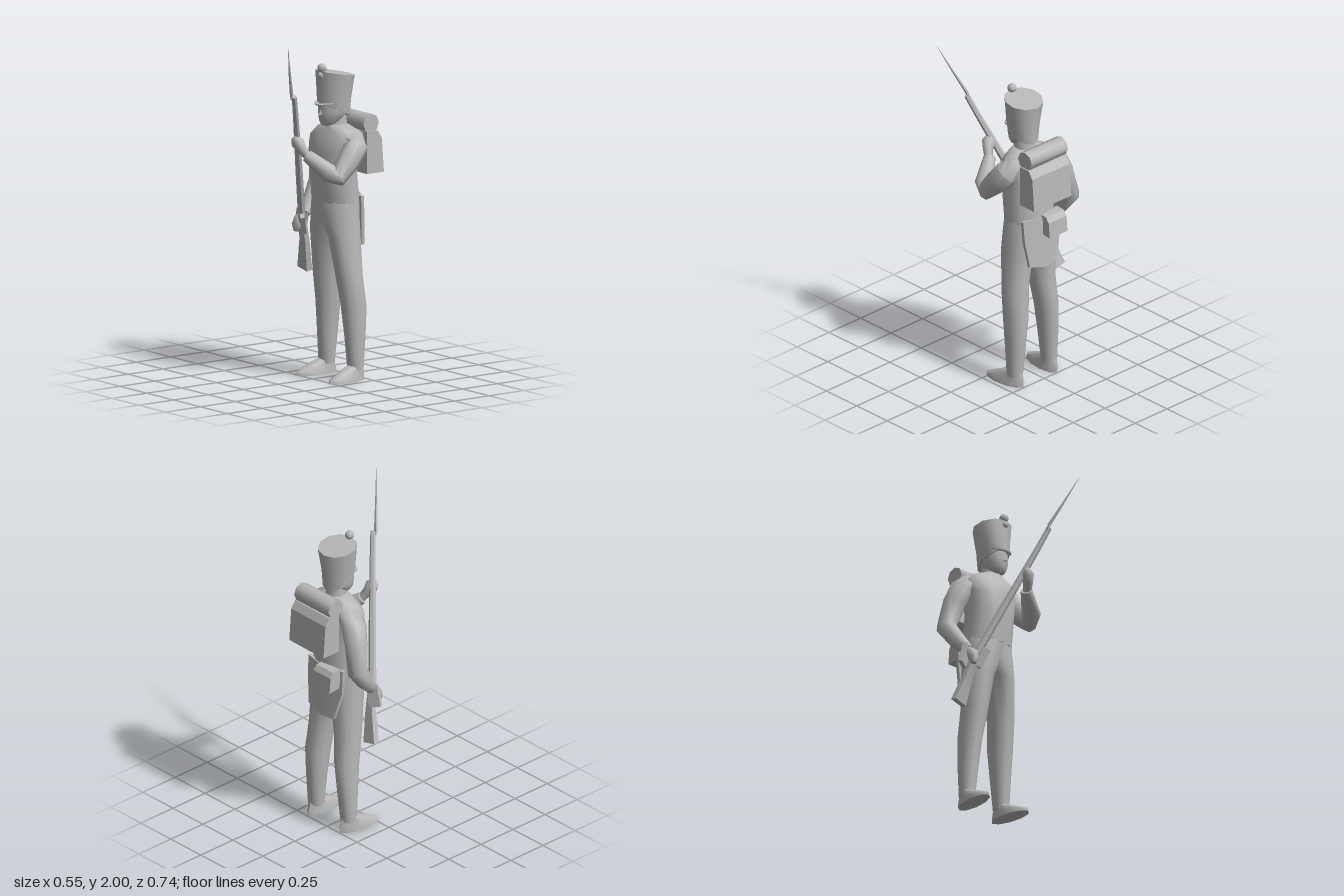
import * as THREE from 'three';
import { toCreasedNormals } from 'three/addons/utils/BufferGeometryUtils.js';

const grey = new THREE.MeshStandardMaterial({ color: 0xb8b8b8, side: THREE.DoubleSide });
grey.name = 'clay grey';

// Skin a stack of rings (arrays of Vector3) and close both ends
function skin(rings, crease = 1.1) {
  const n = rings[0].length, pos = [];
  const tri = (...p) => p.forEach(v => pos.push(v.x, v.y, v.z));
  for (let r = 0; r < rings.length - 1; r++) {
    for (let i = 0; i < n; i++) {
      const j = (i + 1) % n, a = rings[r], b = rings[r + 1];
      tri(a[i], b[j], a[j]);
      tri(a[i], b[i], b[j]);
    }
  }
  const lo = rings[0], hi = rings[rings.length - 1];
  for (let i = 1; i < n - 1; i++) {
    tri(lo[0], lo[i], lo[i + 1]);
    tri(hi[0], hi[i + 1], hi[i]);
  }
  const g = new THREE.BufferGeometry();
  g.setAttribute('position', new THREE.Float32BufferAttribute(pos, 3));
  return toCreasedNormals(g, crease);
}

// Upright form: each ring is [y, x0, x1, z front, z back, tilt]
function upright(rows, n = 12, crease) {
  return skin(rows.map(([y, x0, x1, zf, zb, tilt = 0]) => Array.from({ length: n }, (_, i) => {
    const a = (i + 0.5) / n * Math.PI * 2, k = 1 / Math.cos(Math.PI / n);
    const dz = Math.sin(a) * k * (zf - zb) / 2;
    return new THREE.Vector3((x0 + x1) / 2 + Math.cos(a) * k * (x1 - x0) / 2, y + tilt * dz, (zf + zb) / 2 + dz);
  })), crease);
}

// Limb along points [x, y, z, half width, half depth]; width lies along x
function limb(points, n = 8, crease) {
  const p = points.map(q => new THREE.Vector3(q[0], q[1], q[2]));
  const hint = new THREE.Vector3(1, 0, 0);
  return skin(points.map((q, k) => {
    const dir = p[Math.min(k + 1, p.length - 1)].clone().sub(p[Math.max(k - 1, 0)]).normalize();
    const u = hint.clone().addScaledVector(dir, -hint.dot(dir)).normalize();
    const v = new THREE.Vector3().crossVectors(u, dir);
    return Array.from({ length: n }, (_, i) => {
      const a = (i + 0.5) / n * Math.PI * 2;
      return p[k].clone().addScaledVector(u, Math.cos(a) * q[3]).addScaledVector(v, Math.sin(a) * (q[4] ?? q[3]));
    });
  }), crease);
}

// Side profile of [distance behind centre, y], extruded across x
function sideProfile(points, depth) {
  const g = new THREE.ExtrudeGeometry(new THREE.Shape(points.map(p => new THREE.Vector2(...p))), { depth, bevelEnabled: false });
  return g.rotateY(Math.PI / 2);
}

export function createModel() {
  const model = new THREE.Group();
  const add = (name, geometry, x = 0, y = 0, z = 0) => {
    const m = new THREE.Mesh(geometry, grey);
    m.name = name;
    m.position.set(x, y, z);
    model.add(m);
    return m;
  };

  // Coat body
  add('coat', upright([
    [1.03, -0.137, 0.177, -0.03, -0.265], [1.2, -0.128, 0.175, -0.012, -0.25],
    [1.32, -0.14, 0.19, -0.012, -0.25], [1.4, -0.15, 0.205, -0.03, -0.245],
    [1.445, -0.11, 0.185, -0.06, -0.225], [1.48, -0.025, 0.105, -0.075, -0.19]], 14));

  // Trousers: both legs widen into one shared waist
  add('rightLeg', upright([
    [0.06, -0.15, -0.06, -0.135, -0.225], [0.25, -0.15, -0.043, -0.118, -0.242],
    [0.43, -0.148, -0.024, -0.1, -0.252], [0.6, -0.145, 0.0, -0.075, -0.235],
    [0.84, -0.14, 0.032, -0.045, -0.24], [0.93, -0.138, 0.1, -0.036, -0.25],
    [1.04, -0.135, 0.175, -0.032, -0.262]], 12));
  add('leftLeg', upright([
    [0.06, 0.12, 0.21, -0.135, -0.225], [0.25, 0.106, 0.215, -0.118, -0.242],
    [0.43, 0.087, 0.22, -0.1, -0.252], [0.6, 0.067, 0.21, -0.075, -0.235],
    [0.84, 0.028, 0.19, -0.045, -0.24], [0.93, -0.06, 0.184, -0.036, -0.25],
    [1.04, -0.135, 0.175, -0.032, -0.262]], 12));

  // Shoes, toes turned slightly out and tapering
  for (const [name, x, turn] of [['rightShoe', -0.108, -0.12], ['leftShoe', 0.165, 0.1]]) {
    const shoe = add(name, upright([
      [0, -0.05, 0.05, 0.2, -0.06], [0.02, -0.048, 0.048, 0.195, -0.06],
      [0.055, -0.04, 0.04, 0.125, -0.053], [0.09, -0.036, 0.036, 0.04, -0.044]], 10, 0.7), x, 0, -0.18);
    shoe.rotation.y = turn;
  }

  // Coat tails: a thin panel flaring out behind and wrapping round the hips
  const tails = new THREE.Shape([[-0.125, 1.06], [0.02, 1.06], [0.16, 1.06], [0.155, 0.93], [0.13, 0.77], [0.02, 0.745], [-0.08, 0.745], [-0.125, 0.92]]
    .map(p => new THREE.Vector2(...p)));
  const tailGeometry = new THREE.ExtrudeGeometry(tails, { depth: 0.02, bevelEnabled: false });
  const tp = tailGeometry.attributes.position;
  for (let i = 0; i < tp.count; i++) {
    const dx = tp.getX(i) - 0.02;
    tp.setZ(i, tp.getZ(i) - 0.274 + (tp.getY(i) - 1.06) * 0.05 + dx * dx * 1.5);
  }
  add('coatTails', toCreasedNormals(tailGeometry, 0.7));

  // Neck, head and nose
  add('neck', upright([[1.42, -0.02, 0.11, -0.075, -0.2], [1.56, -0.01, 0.095, -0.08, -0.185]], 10));
  add('head', upright([
    [1.475, 0.015, 0.07, -0.04, -0.1], [1.5, -0.012, 0.097, -0.028, -0.17],
    [1.55, -0.027, 0.112, -0.025, -0.205], [1.63, -0.032, 0.117, -0.03, -0.21]], 10));
  add('nose', new THREE.ConeGeometry(0.012, 0.045, 4), 0.043, 1.56, -0.024).rotation.x = -0.2;

  // Tall cap with visor and pompon
  add('cap', upright([
    [1.56, -0.036, 0.123, -0.022, -0.21, 0.45], [1.65, -0.047, 0.134, -0.022, -0.213, 0.35],
    [1.775, -0.067, 0.154, -0.022, -0.232, 0.17]], 10));
  add('visor', new THREE.CylinderGeometry(0.07, 0.07, 0.008, 12, 1, false, -Math.PI / 2, Math.PI), 0.043, 1.612, -0.068).rotation.x = 0.2;
  add('pompon', new THREE.SphereGeometry(0.027, 8, 6), 0.045, 1.81, -0.032);
  add('cockade', new THREE.SphereGeometry(0.022, 8, 6), 0.045, 1.768, -0.026);

  // Right arm reaching down to the musket
  add('rightArm', limb([
    [-0.02, 1.43, -0.155, 0.03, 0.06], [-0.1, 1.4, -0.17, 0.052, 0.08], [-0.15, 1.345, -0.18, 0.068, 0.08],
    [-0.19, 1.25, -0.2, 0.066, 0.07], [-0.228, 1.1, -0.222, 0.056, 0.062],
    [-0.21, 1.0, -0.15, 0.045, 0.05], [-0.19, 0.925, -0.085, 0.036, 0.034]]));
  add('rightHand', limb([
    [-0.19, 0.93, -0.08, 0.022, 0.02], [-0.19, 0.895, -0.05, 0.034, 0.032],
    [-0.192, 0.86, -0.035, 0.034, 0.032], [-0.195, 0.825, -0.03, 0.016, 0.014]]));

  // Left arm bent across the chest
  add('leftArm', limb([
    [0.08, 1.435, -0.15, 0.03, 0.06], [0.155, 1.41, -0.165, 0.05, 0.072], [0.204, 1.365, -0.155, 0.064, 0.075],
    [0.215, 1.29, -0.09, 0.06, 0.072], [0.224, 1.205, -0.005, 0.053, 0.056],
    [0.2, 1.228, 0.033, 0.056, 0.054], [0.088, 1.325, 0.108, 0.034, 0.036]]));
  add('leftHand', limb([
    [0.1, 1.31, 0.1, 0.022, 0.022], [0.075, 1.36, 0.135, 0.03, 0.028],
    [0.055, 1.4, 0.15, 0.042, 0.038], [0.035, 1.43, 0.155, 0.022, 0.022]]));

  // Musket: barrel and fore-stock, butt, lock, bayonet
  add('barrel', limb([
    [-0.17, 0.87, -0.055, 0.024, 0.022], [-0.04, 1.21, 0.067, 0.023, 0.02],
    [0.09, 1.55, 0.19, 0.018, 0.016], [0.14, 1.69, 0.24, 0.016, 0.015]], 6, 0.6));
  add('butt', limb([
    [-0.165, 0.88, -0.05, 0.03, 0.024], [-0.184, 0.78, -0.082, 0.036, 0.022],
    [-0.23, 0.595, -0.12, 0.062, 0.028]], 4, 0.4));
  add('lock', new THREE.BoxGeometry(0.06, 0.12, 0.025), -0.137, 0.88, -0.035).rotation.set(0.15, -0.6, -0.4);
  add('cuffPlate', new THREE.BoxGeometry(0.07, 0.13, 0.025), -0.215, 0.885, -0.085).rotation.set(0.15, 0.4, -0.3);
  add('bayonet', limb([
    [0.122, 1.67, 0.245, 0.006], [0.13, 1.705, 0.252, 0.01], [0.18, 1.825, 0.302, 0.007], [0.252, 2, 0.37, 0.001]], 4));

  // Pack with rolled blanket, slightly turned
  add('pack', sideProfile([[0.25, 1.19], [0.37, 1.19], [0.355, 1.39], [0.325, 1.435], [0.25, 1.435]], 0.29), -0.105, 0, 0).rotation.y = -0.015;
  add('blanketRoll', toCreasedNormals(new THREE.CylinderGeometry(0.056, 0.056, 0.287, 8), 0.9), 0.038, 1.48, -0.28).rotation.z = Math.PI / 2;

  // Cartridge pouch on the right hip
  add('pouch', sideProfile([[0.24, 0.955], [0.33, 0.945], [0.322, 1.04], [0.3, 1.07], [0.25, 1.075]], 0.14), -0.107, 0, 0);

  return model;
}
